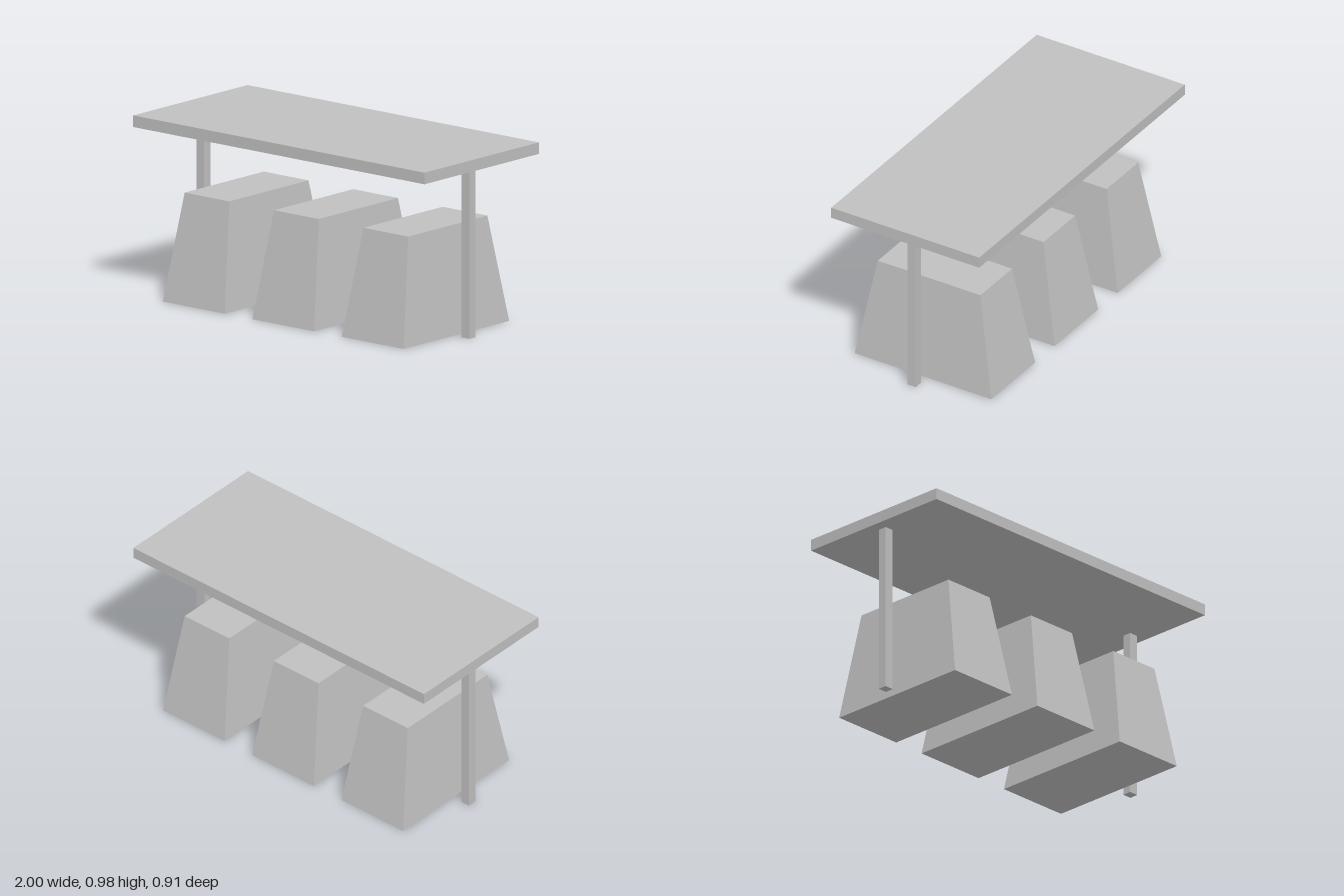
import * as THREE from 'three';

const stone = new THREE.MeshStandardMaterial({ color: 0xc0c0c0 });
stone.name = 'light grey';

function addMesh(parent, name, geometry, x, y, z) {
  const mesh = new THREE.Mesh(geometry, stone);
  mesh.name = name;
  mesh.position.set(x, y, z);
  parent.add(mesh);
  return mesh;
}

// Box whose top is narrowed to a smaller rectangle
function taperedBox(bottomW, bottomD, topW, topD, height) {
  const geometry = new THREE.BoxGeometry(bottomW, height, bottomD);
  const p = geometry.attributes.position;
  for (let i = 0; i < p.count; i++) {
    if (p.getY(i) > 0) {
      p.setX(i, Math.sign(p.getX(i)) * topW / 2);
      p.setZ(i, Math.sign(p.getZ(i)) * topD / 2);
    }
  }
  geometry.computeVertexNormals();
  return geometry;
}

export function createModel() {
  const model = new THREE.Group();
  model.name = 'canopyOverBlocks';

  // Flat roof slab
  addMesh(model, 'roofSlab', new THREE.BoxGeometry(2, 0.062, 0.912), 0, 0.944, 0);

  // One slim post at each end
  const post = new THREE.BoxGeometry(0.053, 0.913, 0.05);
  addMesh(model, 'leftPost', post, 0.911, 0.4565, 0);
  addMesh(model, 'rightPost', post, -0.911, 0.4565, 0);

  // Three tapered blocks in a row
  const block = taperedBox(0.425, 0.842, 0.307, 0.632, 0.573);
  ['rightBlock', 'middleBlock', 'leftBlock'].forEach((name, i) => {
    addMesh(model, name, block, (i - 1) * 0.614, 0.2865, 0);
  });

  return model;
}
